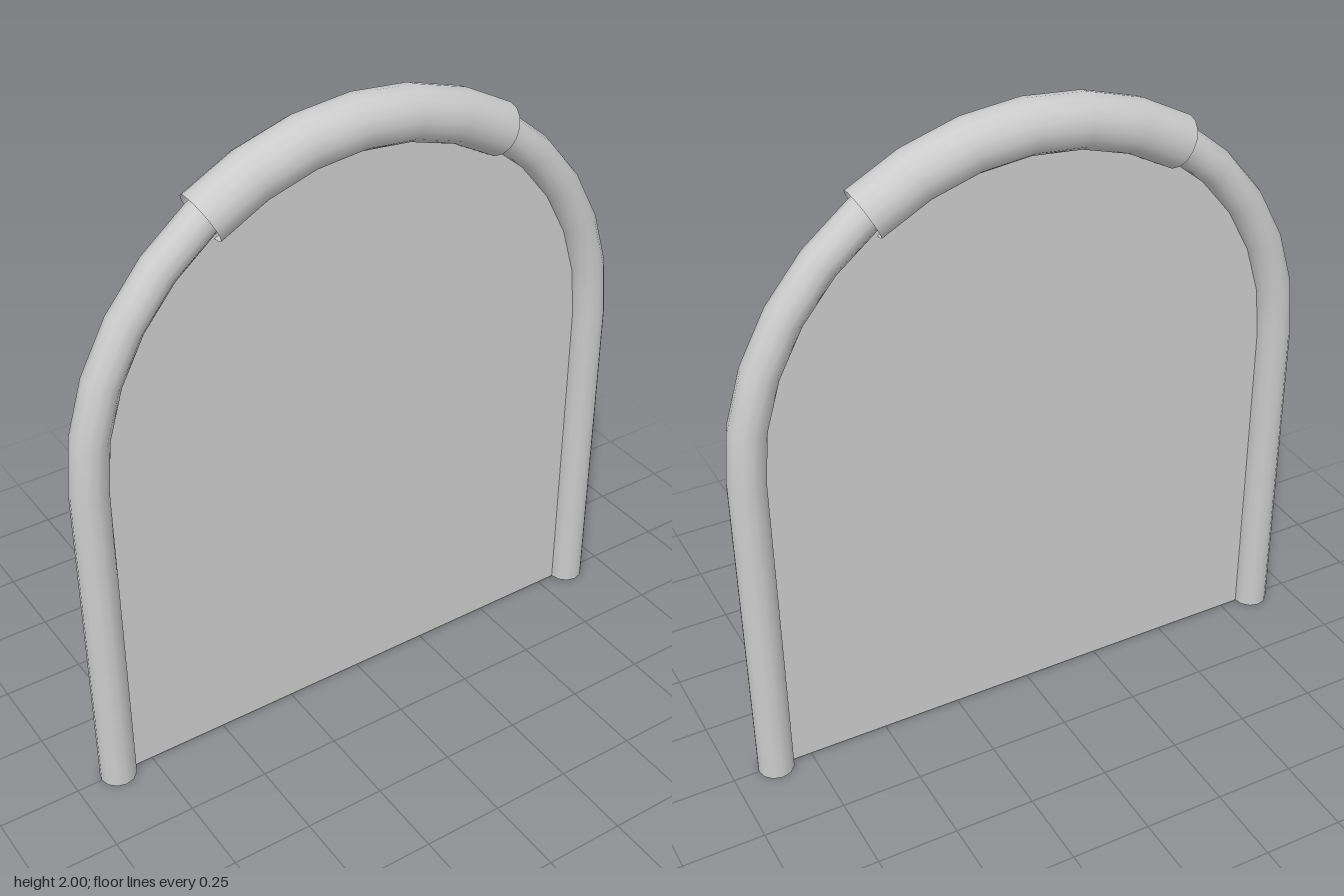
import * as THREE from 'three';

const RADIUS = 0.865;   // arch centre line
const SPRING = 1.055;   // height where the arch begins
const STEPS = 16;       // segments in the half circle

const arcPoint = (i) => {
  const a = (i / STEPS) * Math.PI;
  return new THREE.Vector3(RADIUS * Math.cos(a), SPRING + RADIUS * Math.sin(a), 0);
};
const arc = (from, to) => Array.from({ length: to - from + 1 }, (_, k) => arcPoint(from + k));

// A path whose tube rings fall exactly on the given points, mitred at each bend
class BentPath extends THREE.Curve {
  constructor(points) {
    super();
    this.points = points;
  }
  index(u) {
    return Math.round(u * (this.points.length - 1));
  }
  getPoint(u, target = new THREE.Vector3()) {
    return target.copy(this.points[this.index(u)]);
  }
  getPointAt(u, target) {
    return this.getPoint(u, target);
  }
  getTangentAt(u, target = new THREE.Vector3()) {
    const p = this.points, i = this.index(u), tangent = target.set(0, 0, 0);
    if (i > 0) tangent.add(p[i].clone().sub(p[i - 1]).normalize());
    if (i < p.length - 1) tangent.add(p[i + 1].clone().sub(p[i]).normalize());
    return tangent.normalize();
  }
}

export function createModel() {
  const group = new THREE.Group();
  const material = new THREE.MeshStandardMaterial({ color: 0xcccccc, side: THREE.DoubleSide });

  const add = (name, geometry) => {
    const mesh = new THREE.Mesh(geometry, material);
    mesh.name = name;
    group.add(mesh);
  };
  const tube = (points, radius, sides) =>
    new THREE.TubeGeometry(new BentPath(points), points.length - 1, radius, sides, false);

  // Arched frame: two straight legs joined by a half circle, open at the feet
  const framePoints = [
    new THREE.Vector3(RADIUS, 0, 0),
    ...arc(0, STEPS),
    new THREE.Vector3(-RADIUS, 0, 0),
  ];
  add('archFrame', tube(framePoints, 0.056, 12));

  // Wider open sleeve around the crown of the arch
  add('gripSleeve', tube(arc(5, 11), 0.08, 16));

  // Thin sheet filling the arch
  const outline = new THREE.Shape(framePoints.map((p) => new THREE.Vector2(p.x, p.y)));
  add('panel', new THREE.ShapeGeometry(outline));

  return group;
}
